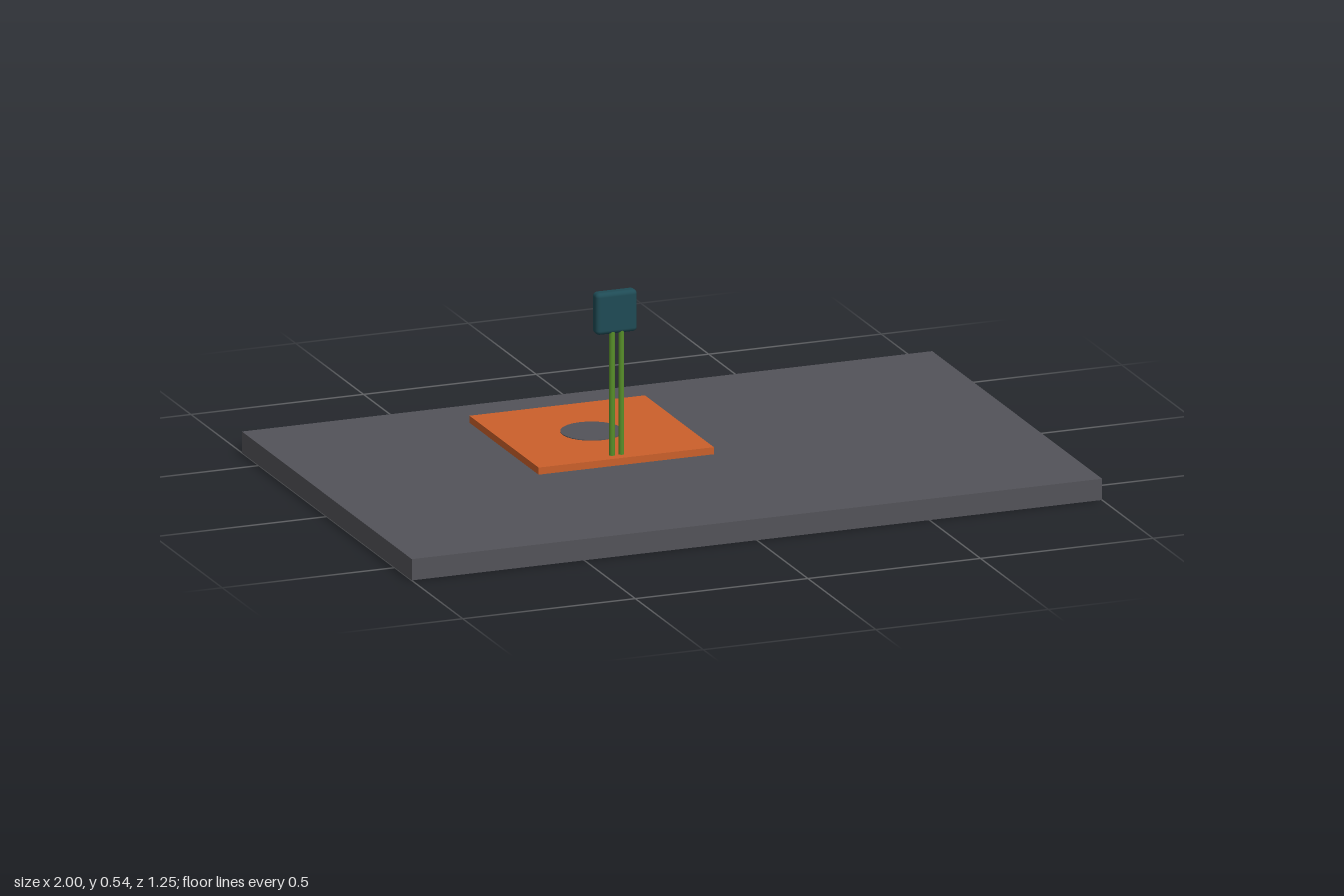
import * as THREE from 'three';
import { RoundedBoxGeometry } from 'three/addons/geometries/RoundedBoxGeometry.js';

export function createModel() {
  const group = new THREE.Group();
  const material = (name, color) => {
    const m = new THREE.MeshStandardMaterial({ color });
    m.name = name;
    return m;
  };
  const grey = material('slate grey', 0x535359);
  const orange = material('orange', 0xcb602b);
  const green = material('leaf green', 0x588f2a);
  const teal = material('dark teal', 0x1f4b55);

  const add = (name, geometry, mat, x, y, z) => {
    const mesh = new THREE.Mesh(geometry, mat);
    mesh.name = name;
    mesh.position.set(x, y, z);
    group.add(mesh);
    return mesh;
  };

  // Ground slab, square mat and its flush round inlay
  add('slab', new THREE.BoxGeometry(2, 0.06, 1.25), grey, 0, 0.03, 0);
  add('mat', new THREE.BoxGeometry(0.508, 0.02, 0.508), orange, -0.146, 0.07, -0.22);
  add('inlay', new THREE.CylinderGeometry(0.085, 0.085, 0.004, 24), grey, -0.146, 0.08, -0.22);

  // Twin posts
  for (const x of [-0.174, -0.147]) {
    add('post', new THREE.CylinderGeometry(0.008, 0.008, 0.37, 12), green, x, 0.255, 0);
  }

  // Head box with a collar and dome on its back
  const cx = -0.162, cy = 0.482;
  add('head', new RoundedBoxGeometry(0.12, 0.118, 0.036, 3, 0.012), teal, cx, cy, -0.009);
  const collar = new THREE.CylinderGeometry(0.038, 0.038, 0.012, 20).rotateX(Math.PI / 2);
  add('collar', collar, teal, cx, cy, -0.028);
  add('dome', new THREE.SphereGeometry(0.028, 20, 14), orange, cx, cy, -0.034);

  return group;
}
